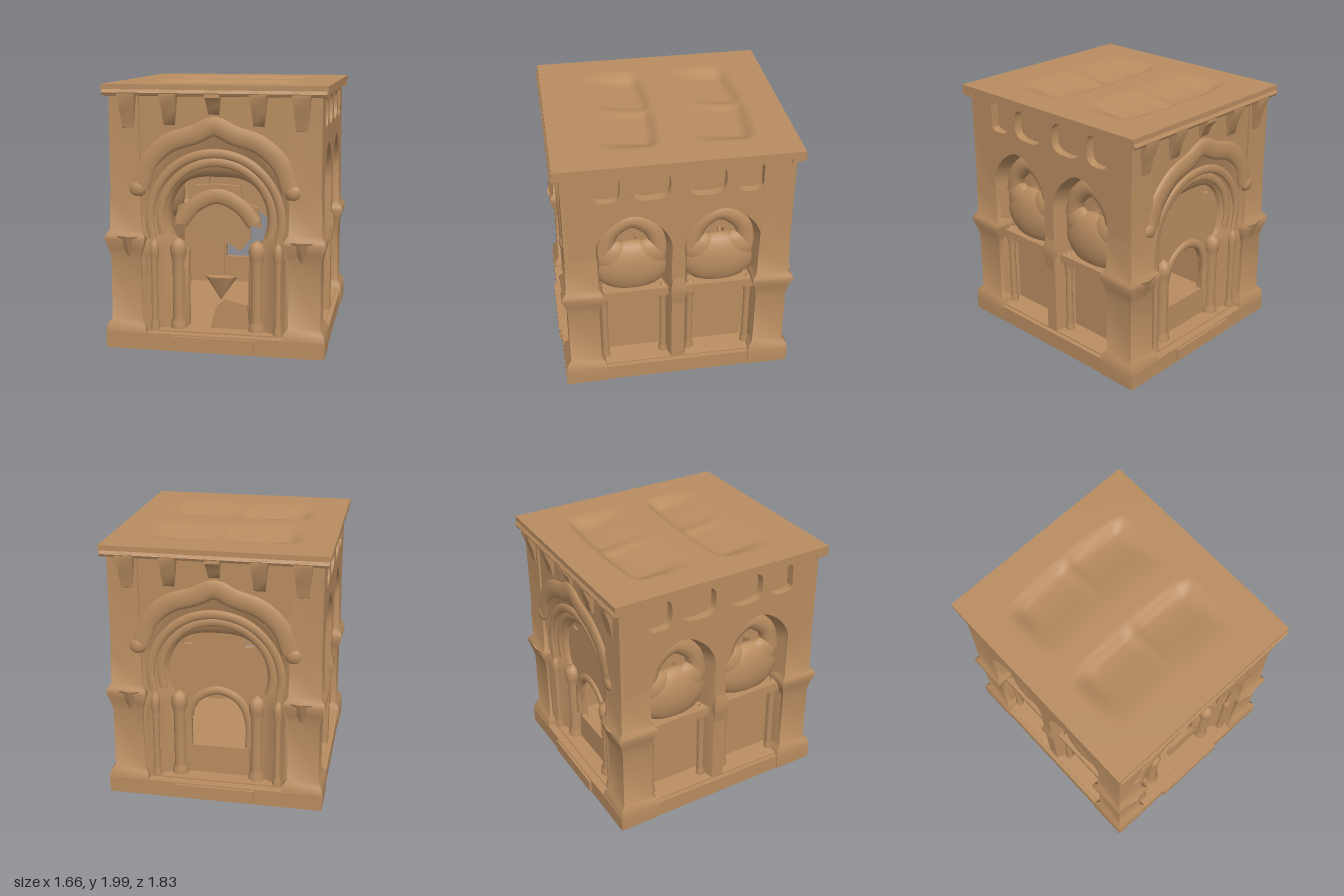
import * as THREE from 'three';
import { toCreasedNormals } from 'three/addons/utils/BufferGeometryUtils.js';

const stone = new THREE.MeshStandardMaterial({ color: 0xb88c60, side: THREE.DoubleSide });
const V2 = (x, y) => new THREE.Vector2(x, y);

function add(parent, name, geo, x = 0, y = 0, z = 0) {
  const mesh = new THREE.Mesh(geo, stone);
  mesh.name = name;
  mesh.position.set(x, y, z);
  parent.add(mesh);
  return mesh;
}
const box = (parent, name, w, h, d, x, y, z) => add(parent, name, new THREE.BoxGeometry(w, h, d), x, y, z);

// Flat slab with holes, its back at z0 and its front at z1
function slab(parent, name, outline, holes, z0, z1) {
  const shape = new THREE.Shape(outline);
  holes.forEach(h => shape.holes.push(new THREE.Path(h)));
  const geo = new THREE.ExtrudeGeometry(shape, { depth: z1 - z0, bevelEnabled: false });
  return add(parent, name, toCreasedNormals(geo, 0.6), 0, 0, z0);
}
const rect = (x0, y0, x1, y1) => [V2(x0, y0), V2(x1, y0), V2(x1, y1), V2(x0, y1)];

// Opening outline: straight jambs, then an arc with a slight point
function archway({ cx = 0, w, r, y0 = 0.15, ys = 0.74, cy = 1, start = -0.44, peak = 0 }) {
  const pts = [V2(cx + w, y0), V2(cx + w, ys)];
  for (let i = 0; i <= 28; i++) {
    const a = start + (Math.PI - 2 * start) * i / 28;
    pts.push(V2(cx + r * Math.cos(a), cy + r * Math.sin(a) + peak * Math.max(0, Math.sin(a)) ** 6));
  }
  pts.push(V2(cx - w, ys), V2(cx - w, y0));
  return pts;
}

// Reveal joining equal-length outlines at successive depths
function reveal(parent, name, rings) {
  const pos = [], idx = [], n = rings[0].pts.length;
  rings.forEach(({ pts, z }) => pts.forEach(p => pos.push(p.x, p.y, z)));
  for (let k = 0; k < rings.length - 1; k++) {
    for (let i = 0; i < n; i++) {
      const a = k * n + i, b = k * n + (i + 1) % n;
      idx.push(a, b, a + n, b, b + n, a + n);
    }
  }
  const geo = new THREE.BufferGeometry();
  geo.setAttribute('position', new THREE.Float32BufferAttribute(pos, 3));
  geo.setIndex(idx);
  return add(parent, name, toCreasedNormals(geo, 0.9));
}

// Square moulded block; profile holds [half width, y]
function squareBlock(parent, name, profile, x, z, sz = 1) {
  const pts = profile.map(([r, y]) => V2(r * Math.SQRT2, y));
  const geo = new THREE.LatheGeometry(pts, 4, Math.PI / 4);
  geo.scale(1, 1, sz);
  return add(parent, name, toCreasedNormals(geo, 0.7), x, 0, z);
}

function moulding(parent, name, pts, z, r, flat = 1) {
  const curve = new THREE.CatmullRomCurve3(pts.map(([x, y]) => new THREE.Vector3(x, y, 0)));
  add(parent, name, new THREE.TubeGeometry(curve, 40, r, 10), 0, 0, z).scale.z = flat;
}

// Slender shaft with a base and a swelling capital
function colonnette(parent, name, r, x, z) {
  const pts = [[1.4, 0.15], [1.3, 0.2], [1, 0.23], [1, 0.66], [1.3, 0.72], [1.4, 0.77], [1.1, 0.82], [0, 0.85]];
  add(parent, name, new THREE.LatheGeometry(pts.map(([k, y]) => V2(k * r, y)), 10), x, 0, z);
}

// Wedge-shaped cornice bracket, broader at the top
function bracket(parent, x, w, foot) {
  const profile = [V2(0, foot), V2(0.025, foot + 0.02), V2(0.045, (foot + 1.93) / 2), V2(0.085, 1.91), V2(0.08, 1.95), V2(0, 1.95)];
  const geo = new THREE.ExtrudeGeometry(new THREE.Shape(profile), { depth: w, bevelEnabled: false });
  geo.rotateY(-Math.PI / 2).translate(w / 2, 0, 0);
  const p = geo.attributes.position;
  for (let i = 0; i < p.count; i++) p.setX(i, p.getX(i) * (1 + 2.4 * (p.getY(i) - foot)));
  add(parent, 'corniceBracket', toCreasedNormals(geo, 0.7), x, 0, 0.825);
}

// End wall with splayed portal, built facing +z
function endFacade(open) {
  const g = new THREE.Group();
  const rings = [
    [0.53, 0.57, 0.83, 0.1], [0.5, 0.53, 0.815, 0.08], [0.46, 0.51, 0.8, 0.06], [0.43, 0.46, 0.78, 0.02],
    [0.4, 0.44, 0.76, 0], [0.36, 0.4, 0.745, -0.02], [0.25, 0.38, 0.725, -0.05], [0.23, 0.37, 0.68, -0.06],
  ].map(([w, r, z, peak]) => ({ z, pts: archway({ w, r, peak }) }));
  slab(g, 'endWall', rect(-0.78, 0.1, 0.78, 1.95), [rings[0].pts], 0.77, 0.83);
  reveal(g, 'portalReveal', rings);
  slab(g, 'innerWall', rect(-0.66, 0.12, 0.66, 1.9), [rings[7].pts], 0.64, 0.68);

  if (open) {
    // Ragged carved panel hanging in the arch
    const half = [[0, 1.26], [0.17, 1.25], [0.19, 1.14], [0.3, 1.09], [0.33, 0.94], [0.24, 0.96], [0.25, 0.86], [0.17, 0.76], [0.08, 0.82]];
    const pts = [...half, ...half.slice(1).reverse().map(([x, y]) => [-x, y]), [-0.03, 1.26]].map(p => V2(...p));
    slab(g, 'tympanum', pts, [], 0.68, 0.72);
    moulding(g, 'tympanumRim', [[-0.28, 0.97], [-0.17, 1.1], [0, 1.17], [0.17, 1.1], [0.28, 0.97]], 0.715, 0.06, 0.4);
    // Broken sill with a toppled fragment
    slab(g, 'brokenSill', [V2(-0.06, 0.15), V2(0.24, 0.15), V2(0.22, 0.34), V2(0.05, 0.38), V2(-0.02, 0.3)], [], 0.67, 0.71);
    add(g, 'fallenStone', new THREE.ConeGeometry(0.13, 0.18, 5).rotateX(Math.PI), 0.02, 0.46, 0.69).scale.z = 0.4;
  } else {
    const door = archway({ w: 0.21, r: 0.2, y0: 0.38, ys: 0.6, cy: 0.62, start: 0 });
    const eyes = [-0.23, 0.23].map(x => rect(x - 0.035, 1.22, x + 0.035, 1.245));
    slab(g, 'doorScreen', rect(-0.4, 0.13, 0.4, 1.42), [door, ...eyes], 0.67, 0.71);
    moulding(g, 'doorRim', [[-0.24, 0.4], [-0.24, 0.62], [-0.16, 0.79], [0, 0.86], [0.16, 0.79], [0.24, 0.62], [0.24, 0.4]], 0.71, 0.035, 0.6);
  }
  // Flattened ogee hood and arch orders
  moulding(g, 'ogeeHood', [[-0.56, 1.25], [-0.49, 1.43], [-0.34, 1.57], [-0.14, 1.64], [0, 1.7],
    [0.14, 1.64], [0.34, 1.57], [0.49, 1.43], [0.56, 1.25]], 0.83, 0.075, 0.4);
  [[0.5, 0.805], [0.43, 0.765]].forEach(([r, z]) => {
    const pts = [];
    for (let i = 0; i <= 12; i++) {
      const a = -0.3 + (Math.PI + 0.6) * i / 12;
      pts.push([r * Math.cos(a), 1 + r * Math.sin(a)]);
    }
    moulding(g, 'archOrder', pts, z, 0.035, 0.5);
  });
  for (const s of [-1, 1]) {
    add(g, 'hoodStop', new THREE.SphereGeometry(0.065, 12, 8), s * 0.58, 1.23, 0.83).scale.z = 0.6;
    colonnette(g, 'outerColonnette', 0.026, s * 0.47, 0.8);
    colonnette(g, 'innerColonnette', 0.045, s * 0.3, 0.73);
    add(g, 'pendant', new THREE.ConeGeometry(0.11, 0.17, 8).rotateX(Math.PI), s * 0.65, 0.79, 0.85).scale.z = 0.5;
    bracket(g, s * 0.64, 0.08, 1.66);
    bracket(g, s * 0.33, 0.08, 1.7);
  }
  bracket(g, 0, 0.08, 1.78);
  // Sloping cornice edge and threshold
  const lip = [V2(0.8, 1.91), V2(0.9, 1.92), V2(0.91, 1.94), V2(0.89, 1.97), V2(0.8, 1.97)];
  const lipGeo = new THREE.ExtrudeGeometry(new THREE.Shape(lip), { depth: 1.64, bevelEnabled: false });
  add(g, 'cornice', lipGeo.rotateY(-Math.PI / 2), 0.82);
  box(g, 'threshold', 0.62, 0.1, 0.06, 0, 0.08, 0.885);
  return g;
}

// Flank with twin bays, built facing +z
function sideFacade() {
  const g = new THREE.Group();
  const bay = (cx, inset) => archway({ cx, w: 0.285 - inset, r: 0.29 - inset, y0: 0.15 + inset / 3,
    ys: 1.1, cy: 1.22, start: 0, peak: 0.04 });
  const niches = [-0.53, -0.205, 0.2, 0.52].map((x, i) => {
    const w = i % 3 ? 0.145 : 0.105;
    const pts = [];
    for (let k = 0; k < 24; k++) {
      const a = Math.PI * 2 * k / 24, c = Math.cos(a), s = Math.sin(a);
      pts.push(V2(x + w * Math.sign(c) * Math.abs(c) ** 0.65, 1.8 + 0.12 * Math.sign(s) * Math.abs(s) ** 0.65));
    }
    return pts;
  });
  const centres = [-0.335, 0.335];
  slab(g, 'sideWall', rect(-0.82, 0.1, 0.82, 1.95), [...centres.map(c => bay(c, 0)), ...niches], 0.72, 0.785);
  const eyes = centres.map(c => [V2(c - 0.03, 1.28), V2(c - 0.035, 1.21), V2(c + 0.03, 1.19), V2(c + 0.04, 1.25)]);
  slab(g, 'bayBackWall', rect(-0.66, 0.12, 0.66, 1.93), eyes, 0.58, 0.62);
  box(g, 'nicheBack', 1.5, 0.3, 0.06, 0, 1.8, 0.69);
  centres.forEach(c => {
    reveal(g, 'bayReveal', [[0, 0.785], [0.015, 0.75], [0.025, 0.7], [0.05, 0.62]].map(([i, z]) => ({ pts: bay(c, i), z })));
    // Swelling carved panels above the niche
    add(g, 'carvedBulge', new THREE.SphereGeometry(0.29, 24, 12), c, 1.0, 0.63).scale.set(1, 0.78, 0.36);
    for (const s of [-1, 1]) {
      add(g, 'carvedLobe', new THREE.SphereGeometry(0.14, 14, 10), c + s * 0.14, 1.1, 0.64).scale.z = 0.5;
      colonnette(g, 'bayColonnette', 0.026, c + s * 0.23, 0.69);
    }
    moulding(g, 'bayHood', [[c - 0.22, 1.14], [c - 0.16, 1.33], [c, 1.43], [c + 0.16, 1.33], [c + 0.22, 1.14]], 0.635, 0.075, 0.8);
    box(g, 'baySill', 0.54, 0.07, 0.13, c, 0.79, 0.675);
  });
  squareBlock(g, 'centreCapital', [[0.04, 0.7], [0.055, 0.8], [0.06, 0.86], [0.04, 0.95]], 0, 0.75);
  box(g, 'cornice', 1.7, 0.05, 0.06, 0, 1.95, 0.785);
  return g;
}

export function createModel() {
  const model = new THREE.Group();
  model.name = 'stoneChapel';
  const place = (g, name, angle) => {
    g.name = name;
    g.rotation.y = angle;
    model.add(g);
  };
  place(endFacade(true), 'frontFacade', 0);
  place(endFacade(false), 'backFacade', Math.PI);
  place(sideFacade(), 'rightFacade', Math.PI / 2);
  place(sideFacade(), 'leftFacade', -Math.PI / 2);

  // Corner piers with flared bases and capitals
  const pier = [[0.155, 0.01], [0.158, 0.12], [0.148, 0.19], [0.118, 0.23], [0.116, 0.7], [0.13, 0.77],
    [0.155, 0.85], [0.148, 0.88], [0.12, 0.92], [0.116, 1.18], [0.113, 1.2], [0.113, 1.92]];
  for (const x of [-1, 1]) for (const z of [-1, 1]) squareBlock(model, 'cornerPier', pier, x * 0.672, z * 0.73, 1.03);

  // Hollow plinth, floor and the beams beneath
  for (const s of [-1, 1]) {
    box(model, 'plinthEnd', 1.64, 0.13, 0.12, 0, 0.075, s * 0.835);
    box(model, 'plinthSide', 0.12, 0.13, 1.7, s * 0.76, 0.075, 0);
    box(model, 'longBeam', 0.05, 0.08, 1.6, s * 0.33, 0.07, 0);
  }
  box(model, 'floor', 1.5, 0.03, 1.6, 0, 0.135, 0);
  for (let i = -2; i <= 2; i++) box(model, 'crossBeam', 1.5, 0.09, 0.09, 0, 0.075, i * 0.28);

  // Roof slab with two hollows, steep at the rear and fading forward
  const roof = new THREE.BoxGeometry(1.66, 0.04, 1.79, 60, 1, 60);
  const p = roof.attributes.position;
  const step = THREE.MathUtils.smoothstep;
  for (let i = 0; i < p.count; i++) {
    const x = p.getX(i), z = p.getZ(i);
    const across = 1 - step(Math.abs(x), 0.44, 0.6);
    const ridge = 1 - 0.35 * Math.exp(-((x / 0.05) ** 2));
    const bow = z - 0.12 * x * x;
    const dip = z0 => step(bow, z0 - 0.03, z0 + 0.05) * (1 - step(bow, z0 + 0.08, z0 + 0.52));
    p.setY(i, p.getY(i) - 0.06 * across * ridge * (dip(-0.6) + dip(0.1)));
  }
  add(model, 'roof', toCreasedNormals(roof, 0.8), 0, 1.98, 0);
  return model;
}
